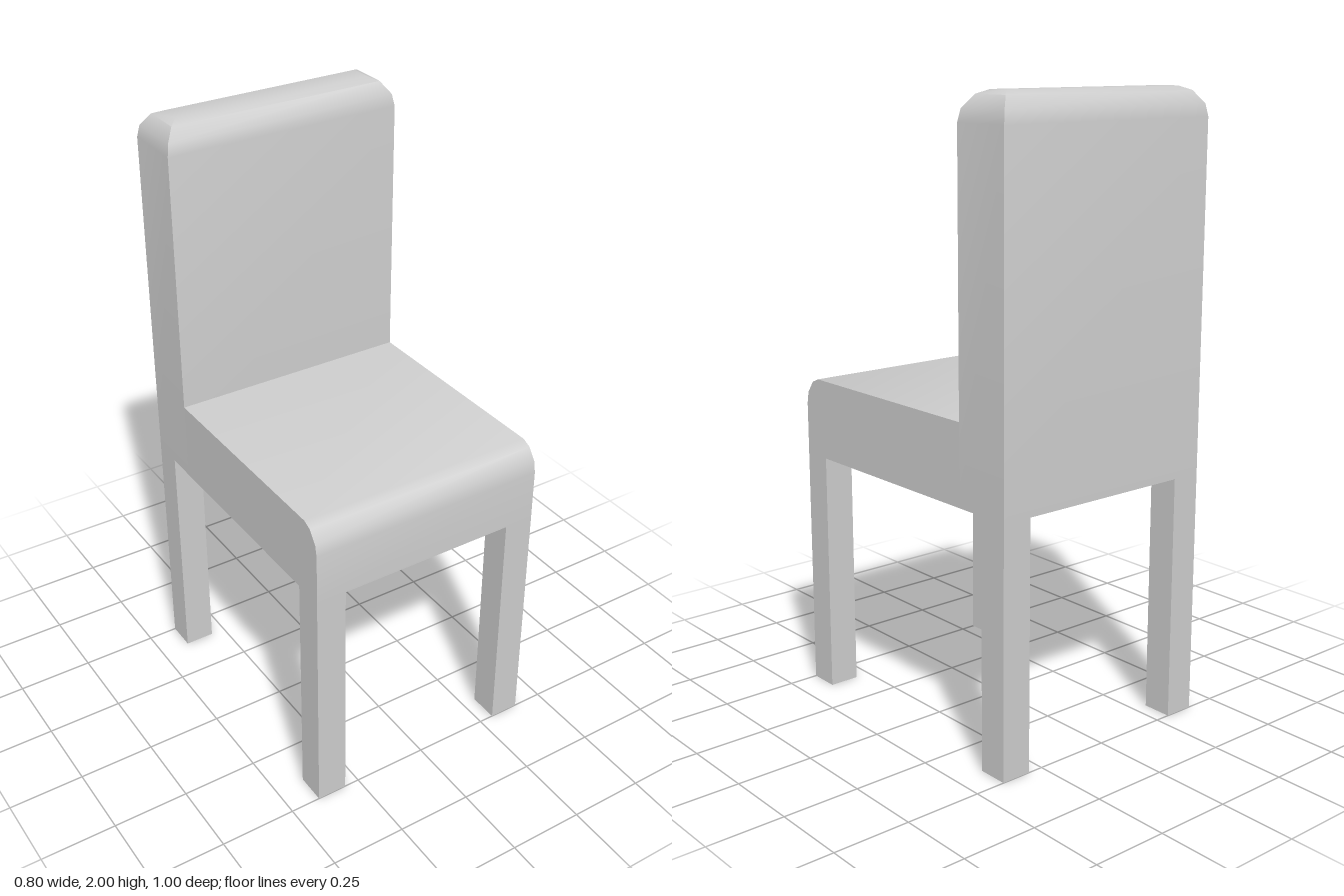
import * as THREE from 'three';
import { toCreasedNormals } from 'three/addons/utils/BufferGeometryUtils.js';

const HALF_WIDTH = 0.4, LEG_TOP = 0.8, SEAT_TOP = 1.06, CREASE = 0.6;

// Rounded edge as [inset, drop below the top]
const EDGE = [[0, 0.09], [0.007, 0.052], [0.035, 0.013], [0.065, 0]];

// Seat: side profile with a rounded front edge, extruded across the width
function seatGeometry() {
  const shape = new THREE.Shape();
  shape.moveTo(-0.3, LEG_TOP);
  shape.lineTo(0.5, LEG_TOP);
  for (const [inset, drop] of EDGE) shape.lineTo(0.5 - inset, SEAT_TOP - drop);
  shape.lineTo(-0.3, SEAT_TOP);
  const geometry = new THREE.ExtrudeGeometry(shape, { depth: 2 * HALF_WIDTH, bevelEnabled: false });
  geometry.rotateY(-Math.PI / 2).translate(HALF_WIDTH, 0, 0);
  return toCreasedNormals(geometry, CREASE);
}

// Backrest: stacked rectangles that shrink toward the top, with mitred corners
function backrestGeometry() {
  const sections = [[0, LEG_TOP], ...EDGE.map(([inset, drop]) => [inset, 2 - drop])];
  const positions = [];
  for (const [inset, y] of sections) {
    const x = HALF_WIDTH - inset, z = 0.1 - inset;
    positions.push(-x, y, z, x, y, z, x, y, -z, -x, y, -z);
  }
  const index = [0, 2, 1, 0, 3, 2];
  for (let s = 0; s < sections.length - 1; s++) {
    for (let i = 0; i < 4; i++) {
      const a = s * 4 + i, b = s * 4 + (i + 1) % 4;
      index.push(a, b, b + 4, a, b + 4, a + 4);
    }
  }
  const t = (sections.length - 1) * 4;
  index.push(t, t + 1, t + 2, t, t + 2, t + 3);
  const geometry = new THREE.BufferGeometry();
  geometry.setAttribute('position', new THREE.Float32BufferAttribute(positions, 3));
  geometry.setIndex(index);
  geometry.translate(0, 0, -0.4);
  return toCreasedNormals(geometry, CREASE);
}

export function createModel() {
  const chair = new THREE.Group();
  chair.name = 'chair';
  const grey = new THREE.MeshStandardMaterial({ color: 0xcccccc });
  grey.name = 'light grey';

  const add = (name, geometry) => {
    const mesh = new THREE.Mesh(geometry, grey);
    mesh.name = name;
    chair.add(mesh);
    return mesh;
  };

  add('seat', seatGeometry());
  add('backrest', backrestGeometry());

  // Four square legs flush with the outer corners
  const leg = new THREE.BoxGeometry(0.1, LEG_TOP, 0.1);
  for (const [side, x] of [['Left', 0.35], ['Right', -0.35]]) {
    for (const [end, z] of [['front', 0.45], ['back', -0.45]]) {
      add(`${end}${side}Leg`, leg).position.set(x, LEG_TOP / 2, z);
    }
  }
  return chair;
}
